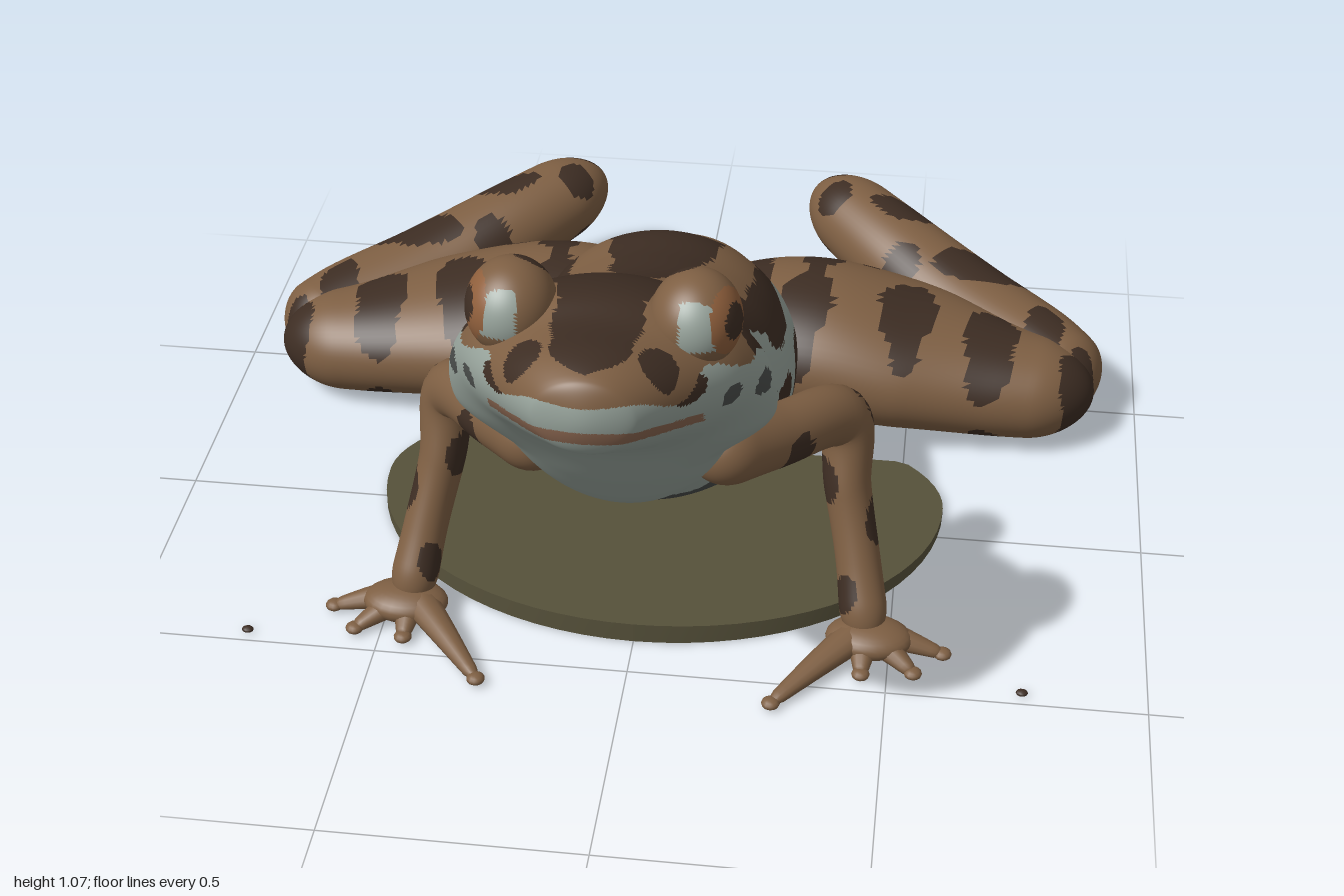
import * as THREE from 'three';

const mat = (name, color) => Object.assign(new THREE.MeshStandardMaterial({ color }), { name });
const V = (x, y, z) => new THREE.Vector3(x, y, z);
const { smoothstep } = THREE.MathUtils;

// Material slots
const BROWN = 0, DARK = 1, PALE = 2, BELLY = 3, LIP = 4, OLIVE = 5, IRIS = 6;

// Gives each triangle a material slot chosen from its centre (mirrored onto x >= 0)
function paint(geo, pick) {
  const pos = geo.attributes.position, idx = geo.index.array, buckets = [[], [], [], [], [], [], []];
  const a = V(), b = V(), c = V();
  for (let i = 0; i < idx.length; i += 3) {
    a.fromBufferAttribute(pos, idx[i]);
    b.fromBufferAttribute(pos, idx[i + 1]);
    c.fromBufferAttribute(pos, idx[i + 2]);
    a.add(b).add(c).divideScalar(3);
    a.x = Math.abs(a.x);
    buckets[pick(a)].push(idx[i], idx[i + 1], idx[i + 2]);
  }
  geo.setIndex(buckets.flat());
  geo.clearGroups();
  let start = 0;
  buckets.forEach((list, slot) => {
    if (list.length) geo.addGroup(start, list.length, slot);
    start += list.length;
  });
  return geo;
}

// Smooth loft through rows [x, y, z, sideRadius, upRadius] with rounded ends
function loft(rows, { ref = V(0, 1, 0), tangent = null, cap = 0.1, nu = 60, nv = 40, warp = q => q }) {
  const centre = new THREE.CatmullRomCurve3(rows.map(r => V(r[0], r[1], r[2])), false, 'catmullrom');
  const radius = new THREE.CatmullRomCurve3(rows.map(r => V(r[3], r[4], 0)), false, 'catmullrom');
  const p = [], idx = [];
  for (let i = 0; i <= nu; i++) {
    const u = 0.5 - 0.5 * Math.cos(Math.PI * i / nu);
    const c = centre.getPoint(u), r = radius.getPoint(u);
    const t = tangent || centre.getTangent(u);
    const side = ref.clone().cross(t).normalize(), up = t.clone().cross(side);
    const w = Math.min(1, u / cap, (1 - u) / cap), f = Math.sqrt(Math.max(0, w * (2 - w)));
    for (let j = 0; j < nv; j++) {
      const ang = j / nv * Math.PI * 2;
      const q = c.clone().addScaledVector(side, r.x * f * Math.cos(ang)).addScaledVector(up, r.y * f * Math.sin(ang));
      p.push(...warp(q).toArray());
      if (i < nu) {
        const A = i * nv + j, B = i * nv + (j + 1) % nv;
        idx.push(A, B, A + nv, B, B + nv, A + nv);
      }
    }
  }
  const geo = new THREE.BufferGeometry();
  geo.setAttribute('position', new THREE.Float32BufferAttribute(p, 3));
  geo.setIndex(idx);
  geo.computeVertexNormals();
  return geo;
}

// Ragged blotch test for ellipsoids [x, y, z, rx, ry, rz]
function spotted(p, spots) {
  const wob = 0.24 * Math.sin(31 * p.x + 17 * p.z) + 0.22 * Math.sin(27 * p.z - 23 * p.y + 1) + 0.12 * Math.sin(61 * p.z + 40 * p.x);
  return spots.some(([x, y, z, rx, ry, rz]) =>
    ((p.x - x) / rx) ** 2 + ((p.y - y) / ry) ** 2 + ((p.z - z) / rz) ** 2 < 1 + wob);
}
const top = (x, z, rx, rz) => [x, 0, z, rx, 9, rz];
const flank = (z, y, rz, ry) => [0, y, z, 9, ry, rz];

const backSpots = [
  top(0, 0.78, 0.08, 0.2), top(0, 0.56, 0.12, 0.13), top(0, 0.31, 0.11, 0.075), top(0, -0.05, 0.105, 0.21),
  top(0, -0.3, 0.065, 0.16), top(0.19, 0.2, 0.055, 0.13), top(0.21, -0.08, 0.035, 0.24), top(0.16, -0.48, 0.03, 0.15),
  top(0.06, -0.62, 0.024, 0.1), top(0.13, -0.66, 0.022, 0.05), top(0.24, 0.6, 0.05, 0.1), top(0.2, 0.45, 0.04, 0.07),
  top(0.11, 0.89, 0.03, 0.04)];
const flankSpots = [
  flank(-0.08, 0.33, 0.1, 0.08), flank(-0.03, 0.53, 0.19, 0.045), flank(0.12, 0.41, 0.07, 0.04),
  flank(0.13, 0.27, 0.05, 0.035), flank(0.02, 0.18, 0.05, 0.03), flank(-0.13, 0.18, 0.04, 0.05),
  flank(-0.28, 0.24, 0.04, 0.06), flank(0.34, 0.61, 0.12, 0.05), flank(0.55, 0.63, 0.025, 0.03),
  flank(0.88, 0.93, 0.035, 0.02)];
const jawSpots = [flank(0.7, 0.84, 0.025, 0.018), flank(0.62, 0.78, 0.02, 0.02), flank(0.79, 0.87, 0.02, 0.015)];
const thighSpots = [top(0.27, -0.38, 0.055, 0.11), top(0.29, -0.58, 0.05, 0.06), top(0.28, -0.48, 0.025, 0.1),
  top(0.49, -0.42, 0.06, 0.13), top(0.67, -0.4, 0.06, 0.11), top(0.87, -0.38, 0.055, 0.06), top(0.4, -0.64, 0.035, 0.05),
  top(0.16, -0.5, 0.03, 0.12), top(0.14, -0.66, 0.025, 0.05)];
const shinSpots = [top(0.65, -0.67, 0.12, 0.06), top(0.79, -0.49, 0.04, 0.08), top(0.46, -0.82, 0.08, 0.045),
  top(0.3, -0.97, 0.05, 0.03), top(0.3, -0.86, 0.035, 0.04), top(0.87, -0.42, 0.03, 0.04), top(0.47, -0.66, 0.04, 0.04),
  [0.84, 0.04, -0.55, 0.05, 0.05, 0.05], [0.58, 0.08, -0.78, 0.05, 0.06, 0.05], [0.38, 0.18, -0.93, 0.05, 0.04, 0.05]];
const armSpots = [[0.29, 0.48, 0.36, 0.06, 0.06, 0.06], [0.42, 0.42, 0.18, 0.05, 0.08, 0.05],
  [0.44, 0.22, 0.27, 0.04, 0.06, 0.05], [0.36, 0.32, 0.25, 0.03, 0.05, 0.06], [0.4, 0.12, 0.36, 0.03, 0.04, 0.03]];
const legPick = spots => p => spotted(p, spots) ? DARK : BROWN;

// Height at which the brown back meets the pale flank, [z, y]
const sideLine = [[-0.52, -1], [-0.4, 0.2], [-0.22, 0.48], [0.2, 0.59], [0.45, 0.66], [0.6, 0.83], [0.75, 0.92], [1, 0.95]];
function lineAt(z) {
  for (let i = 1; i < sideLine.length; i++) {
    const [z0, y0] = sideLine[i - 1], [z1, y1] = sideLine[i];
    if (z <= z1) return z < z0 ? y0 : y0 + (y1 - y0) * (z - z0) / (z1 - z0);
  }
  return 0.95;
}
function bodyPick(p) {
  const lip = 0.905 - 0.07 * (p.x / 0.22) ** 2;
  if (p.z > 0.78 && p.x < 0.18 && Math.abs(p.y - lip) < 0.013) return LIP;
  if (p.y > lineAt(p.z) + 0.015 * Math.sin(40 * p.z)) return spotted(p, backSpots) ? DARK : BROWN;
  if (p.z > -0.12 && p.x < 0.16 + 0.015 * Math.sin(50 * p.y) && p.y < 0.32 + 0.015 * Math.sin(45 * p.x)) return BELLY;
  if (p.x > 0.13 && spotted(p, flankSpots)) return DARK;
  if (p.x > 0.15 && spotted(p, jawSpots)) return BELLY;
  return spotted(p, [flank(-0.3, 0.39, 0.07, 0.08)]) ? OLIVE : PALE;
}

// Trunk and head sections [z, bottom, top, half width]
const sections = [
  [-0.77, 0.02, 0.1, 0.05], [-0.72, 0, 0.18, 0.085], [-0.64, 0, 0.285, 0.13], [-0.52, 0, 0.38, 0.18],
  [-0.38, 0.01, 0.455, 0.23], [-0.26, 0.02, 0.52, 0.255], [-0.14, 0.05, 0.615, 0.27], [0, 0.1, 0.645, 0.275],
  [0.12, 0.15, 0.675, 0.265], [0.25, 0.23, 0.735, 0.235], [0.38, 0.33, 0.82, 0.205], [0.48, 0.4, 0.89, 0.225],
  [0.58, 0.47, 0.96, 0.275], [0.66, 0.57, 1, 0.285], [0.74, 0.69, 1.02, 0.25], [0.82, 0.76, 1.01, 0.205],
  [0.9, 0.81, 1.015, 0.15], [0.96, 0.85, 1.005, 0.1], [1, 0.88, 0.985, 0.055]];

// Narrows the throat below the cheeks
function narrowThroat(q) {
  q.x *= 1 - 0.22 * (1 - smoothstep(q.y, 0.61, 0.74)) * smoothstep(q.z, 0.42, 0.56);
  return q;
}

export function createModel() {
  const frog = new THREE.Group();
  frog.name = 'frog';
  const mats = [mat('brown skin', 0x7e5f43), mat('dark blotches', 0x3d2d23), mat('pale flank', 0x97a39b),
    mat('dark belly', 0x4a4d4b), mat('lip', 0x8a6650), mat('olive', 0x57523b), mat('iris', 0x8f5f3c)];
  const add = (name, geo, material = mats) => {
    const m = new THREE.Mesh(geo, material);
    m.name = name;
    frog.add(m);
  };

  const trunk = sections.map(([z, b, t, w]) => [0, (b + t) / 2, z, w, (t - b) / 2]);
  add('body', paint(loft(trunk, { tangent: V(0, 0, 1), cap: 0.04, nu: 220, nv: 140, warp: narrowThroat }), bodyPick));

  for (const s of [1, -1]) {
    const side = s > 0 ? 'left' : 'right';
    const flip = rows => rows.map(([x, ...r]) => [x * s, ...r]);
    const limb = (name, rows, spots, opt) => add(side + name, paint(loft(flip(rows), opt), legPick(spots)));

    // Folded hind leg
    limb('Thigh', [[0, 0.13, -0.49, 0.18, 0.1], [0.14, 0.155, -0.48, 0.2, 0.145], [0.3, 0.165, -0.475, 0.215, 0.155],
      [0.5, 0.14, -0.465, 0.21, 0.135], [0.7, 0.115, -0.43, 0.15, 0.113], [0.9, 0.1, -0.41, 0.1, 0.095]],
    thighSpots, { cap: 0.13, nu: 90, nv: 64 });
    limb('Shin', [[0.885, 0.1, -0.42, 0.09, 0.09], [0.775, 0.11, -0.53, 0.12, 0.11], [0.615, 0.145, -0.65, 0.125, 0.11],
      [0.44, 0.205, -0.795, 0.108, 0.1], [0.26, 0.25, -0.98, 0.09, 0.085]], shinSpots, { cap: 0.13, nu: 80, nv: 56 });

    // Front leg
    limb('Arm', [[0.13, 0.53, 0.5, 0.08, 0.08], [0.26, 0.49, 0.37, 0.062, 0.06], [0.38, 0.44, 0.22, 0.06, 0.056],
      [0.4, 0.3, 0.245, 0.056, 0.046], [0.43, 0.16, 0.305, 0.047, 0.044], [0.455, 0.025, 0.38, 0.045, 0.05]],
    armSpots, { ref: V(1, 0, 0), cap: 0.1, nu: 80, nv: 40 });

    // Hand with four fingers
    const palm = new THREE.SphereGeometry(1, 24, 16).scale(0.085, 0.034, 0.06).translate(s * 0.46, 0.034, 0.38);
    add(side + 'Palm', palm, mats[BROWN]);
    for (const [x, z] of [[0.605, 0.385], [0.55, 0.45], [0.45, 0.465], [0.285, 0.57]]) {
      const mid = [(0.45 + x) / 2, 0.028, (0.36 + z) / 2, 0.027, 0.022];
      const rows = [[0.45, 0.04, 0.36, 0.04, 0.03], mid, [x, 0.011, z, 0.013, 0.011]];
      add(side + 'Finger', loft(flip(rows), { nu: 16, nv: 12 }), mats[BROWN]);
      add(side + 'FingerPad', new THREE.SphereGeometry(0.018, 12, 8).scale(1, 0.6, 1).translate(s * x, 0.011, z), mats[BROWN]);
    }
    add(side + 'Speck', new THREE.SphereGeometry(0.012, 10, 6).scale(1, 0.5, 0.8).translate(s * 0.76, 0.006, 0.475), mats[DARK]);

    // Bulging eye, iris and pupil facing outwards
    const centre = V(0.155, 0.985, 0.74), gaze = V(0.85, 0.2, 0.35).normalize();
    const eye = new THREE.SphereGeometry(1, 56, 40).scale(0.078, 0.084, 0.086).translate(s * centre.x, centre.y, centre.z);
    add(side + 'Eye', paint(eye, p => {
      const d = p.clone().sub(centre).normalize(), g = d.dot(gaze);
      if (g > 0.92) return DARK;
      if (g > 0.72) return IRIS;
      if (d.z > 0.66 && d.y > -0.2 && d.x > -0.25) return PALE;
      return spotted(p, [[0.13, 1.02, 0.7, 0.03, 0.1, 0.03], [0.2, 0.95, 0.7, 0.04, 0.03, 0.04]]) ? DARK : BROWN;
    }));
  }

  // Wedge-shaped pad: ellipse cut straight at the back, top sloping down to the rear
  const pad = new THREE.CylinderGeometry(1, 1, 1, 72);
  const pos = pad.attributes.position;
  for (let i = 0; i < pos.count; i++) {
    const t = pos.getZ(i), z = Math.max(t * (t > 0 ? 0.49 : 0.32) - 0.08, -0.25);
    pos.setXYZ(i, pos.getX(i) * 0.59, pos.getY(i) > 0 ? 0.004 + 0.058 * (z + 0.25) : 0, z);
  }
  pad.computeVertexNormals();
  add('pad', pad, mats[OLIVE]);
  return frog;
}
